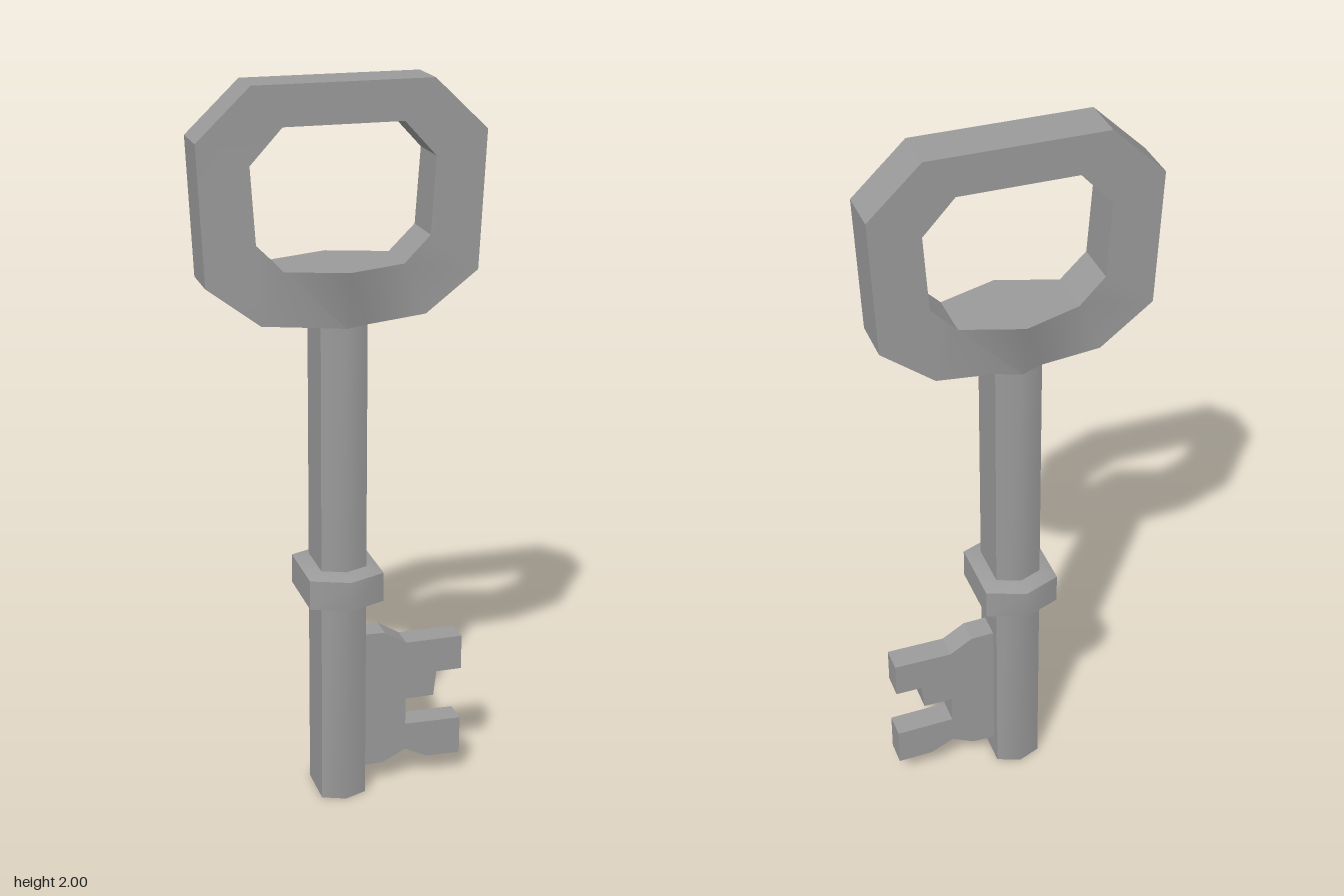
import * as THREE from 'three';
import { toCreasedNormals } from 'three/addons/utils/BufferGeometryUtils.js';

const material = new THREE.MeshStandardMaterial({ color: 0x9b9b9b });

// Joins equal-length rings of points into a skin; closed links the last ring to the first.
function loft(rings, closed, crease) {
  const n = rings[0].length;
  const count = rings.length;
  const index = [];
  for (let r = 0; r < (closed ? count : count - 1); r++) {
    for (let i = 0; i < n; i++) {
      const j = (i + 1) % n;
      const next = (r + 1) % count;
      const a = r * n + i, b = r * n + j, c = next * n + j, d = next * n + i;
      index.push(a, b, c, a, c, d);
    }
  }
  if (!closed) {
    const top = (count - 1) * n;
    for (let i = 1; i < n - 1; i++) {
      index.push(0, i + 1, i, top, top + i, top + i + 1);
    }
  }
  const geometry = new THREE.BufferGeometry();
  geometry.setAttribute('position', new THREE.Float32BufferAttribute(rings.flat(2), 3));
  geometry.setIndex(index);
  return toCreasedNormals(geometry, crease);
}

// Six-sided section with points on the front and back
const hexRing = (y, x, z, tip) => [
  [0, y, tip], [x, y, z], [x, y, -z], [0, y, -tip], [-x, y, -z], [-x, y, z],
];
const shaftRing = (y) => hexRing(y, 0.063, 0.065, 0.09);
const collarRing = (y) => hexRing(y, 0.103, 0.095, 0.135);

function createBow() {
  // Right half, bottom to top: outer x, y, half depth, then inner x, y, half depth
  const half = [
    [0.063, 1.375, 0.065, 0.16, 1.53, 0.068],
    [0.22, 1.392, 0.067, 0.16, 1.53, 0.068],
    [0.362, 1.5, 0.065, 0.23, 1.6, 0.066],
    [0.379, 1.865, 0.064, 0.243, 1.803, 0.064],
    [0.237, 2, 0.064, 0.158, 1.895, 0.064],
  ];
  const mirrored = half.map(([ox, oy, oz, ix, iy, iz]) => [-ox, oy, oz, -ix, iy, iz]).reverse();
  const middle = [0, 1.375, 0.09, 0, 1.53, 0.122];
  const rings = [middle, ...half, ...mirrored].map(([ox, oy, oz, ix, iy, iz]) => [
    [ox, oy, oz], [ox, oy, -oz], [ix, iy, -iz], [ix, iy, iz],
  ]);
  return loft(rings, true, 0.71);
}

function createBit() {
  const outline = [
    [0.04, 0.476], [0.127, 0.473], [0.19, 0.434], [0.353, 0.434], [0.353, 0.333],
    [0.28, 0.333], [0.272, 0.26], [0.19, 0.26], [0.19, 0.18], [0.353, 0.176],
    [0.353, 0.065], [0.255, 0.068], [0.19, 0.1], [0.127, 0.068], [0.04, 0.065],
  ];
  const shape = new THREE.Shape(outline.map(([x, y]) => new THREE.Vector2(x, y)));
  const geometry = new THREE.ExtrudeGeometry(shape, { depth: 0.07, bevelEnabled: false });
  return geometry.translate(0, 0, -0.035);
}

export function createModel() {
  const group = new THREE.Group();
  const add = (name, geometry) => {
    const mesh = new THREE.Mesh(geometry, material);
    mesh.name = name;
    group.add(mesh);
  };

  add('shaft', loft([shaftRing(0), shaftRing(1.375)], false, 0.9));
  add('collar', loft(
    [shaftRing(0.583), collarRing(0.6), collarRing(0.683), shaftRing(0.695)], false, 0.9));
  add('bow', createBow());
  add('bit', createBit());
  return group;
}
